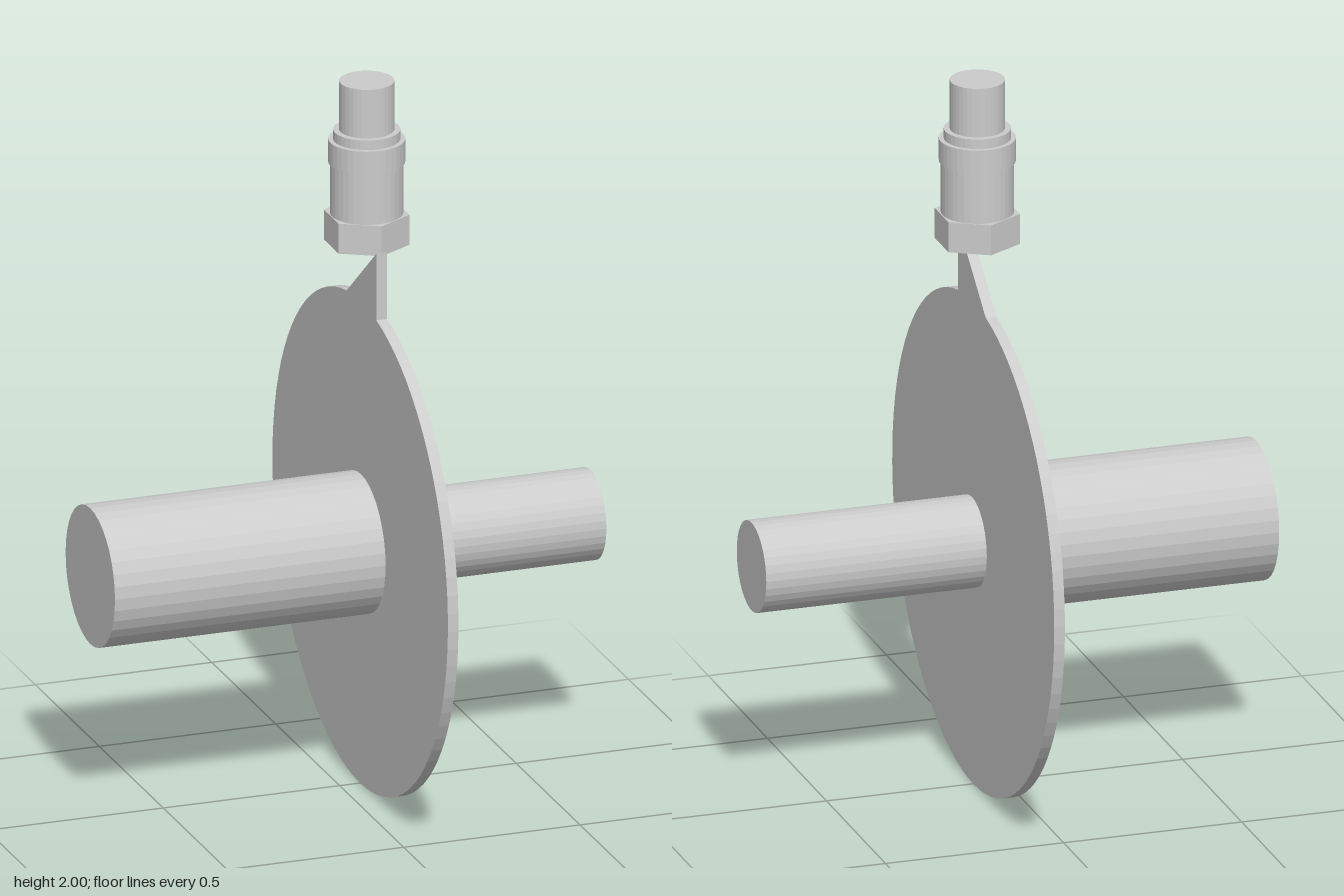
import * as THREE from 'three';

const PLATE_X = 0.073, PLATE_T = 0.03, AXIS_Y = 0.688, AXIS_Z = 0.01;

export function createModel() {
  const model = new THREE.Group();
  const material = new THREE.MeshStandardMaterial({ color: 0xcccccc, flatShading: true });

  const add = (parent, name, geometry) => {
    const mesh = new THREE.Mesh(geometry, material);
    mesh.name = name;
    parent.add(mesh);
    return mesh;
  };

  // Round plate with a straight neck, drawn in profile and extruded along x
  const R = 0.686, neckTop = 1.55, neckFront = -0.127, neckBack = 0.106;
  const outline = new THREE.Shape();
  outline.moveTo(neckBack, neckTop);
  outline.absarc(0, R, R, Math.acos(neckBack / R), Math.acos(neckFront / R), true);
  outline.lineTo(neckFront, neckTop);
  outline.closePath();
  const plateGeometry = new THREE.ExtrudeGeometry(outline, {
    depth: PLATE_T, bevelEnabled: false, curveSegments: 40,
  });
  plateGeometry.rotateY(Math.PI / 2).translate(PLATE_X - PLATE_T / 2, 0, 0);
  add(model, 'plate', plateGeometry);

  // Horizontal shafts on either side of the plate
  const addShaft = (name, radius, x0, x1, z) => {
    const geometry = new THREE.CylinderGeometry(radius, radius, x1 - x0, 36);
    geometry.rotateZ(Math.PI / 2);
    add(model, name, geometry).position.set((x0 + x1) / 2, AXIS_Y, z);
  };
  addShaft('wideShaft', 0.193, -0.709, PLATE_X, 0.006);
  addShaft('narrowShaft', 0.125, PLATE_X, 0.707, AXIS_Z);

  // Upright connector on the neck: stacked coaxial sections
  const connector = new THREE.Group();
  connector.name = 'connector';
  connector.position.set(PLATE_X, 0, AXIS_Z);
  model.add(connector);
  const sections = [
    // name, radius, bottom, top, sides
    ['hexNut', 0.116, 1.54, 1.625, 6],
    ['connectorBody', 0.098, 1.625, 1.77, 36],
    ['collar', 0.103, 1.77, 1.835, 36],
    ['upperRing', 0.09, 1.835, 1.862, 36],
    ['cableStub', 0.074, 1.862, 2.0, 36],
  ];
  for (const [name, radius, y0, y1, sides] of sections) {
    const geometry = new THREE.CylinderGeometry(radius, radius, y1 - y0, sides);
    add(connector, name, geometry).position.y = (y0 + y1) / 2;
  }

  return model;
}
